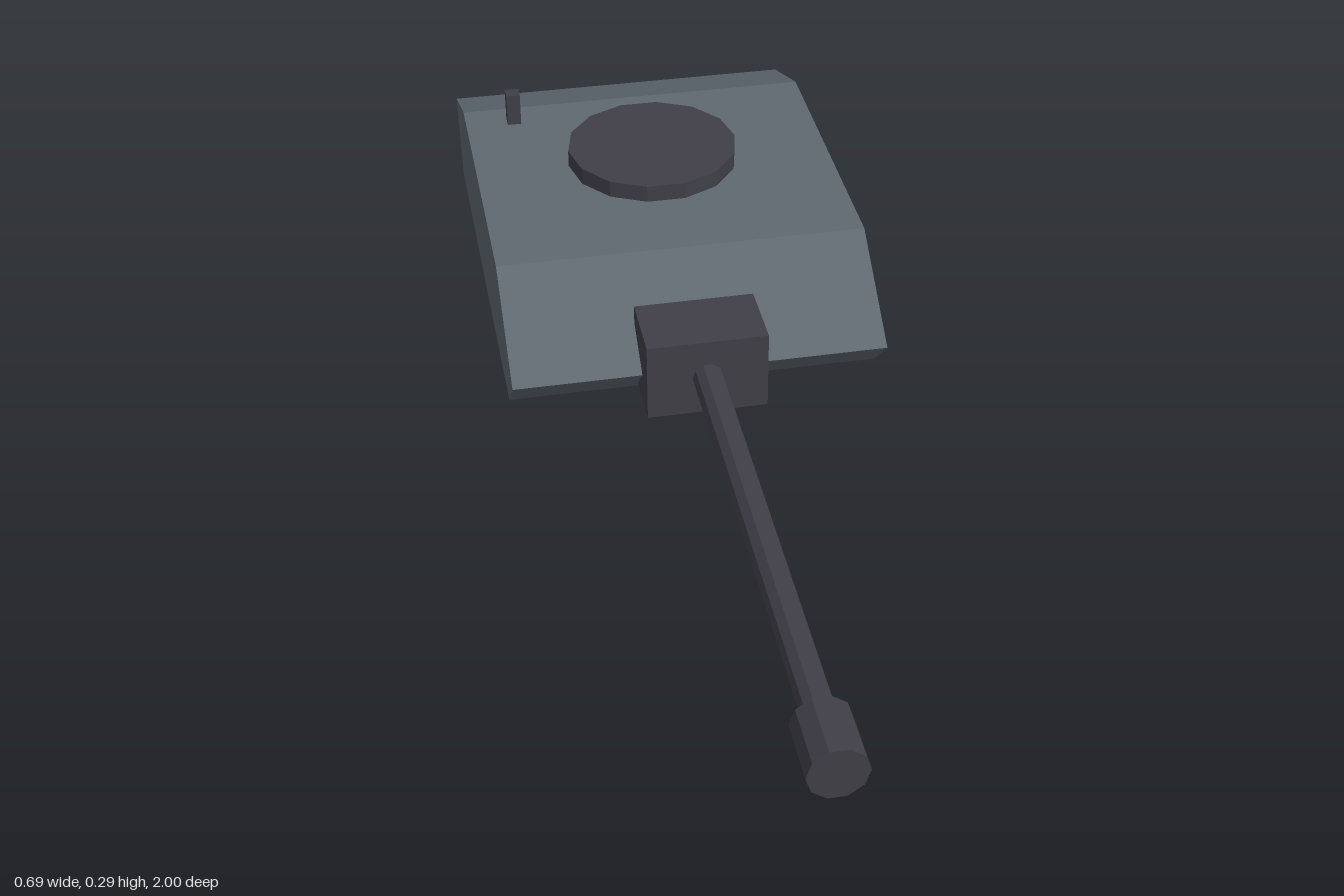
import * as THREE from 'three';

const armour = new THREE.MeshStandardMaterial({ name: 'armour grey', color: 0x5f6870, flatShading: true });
const gunmetal = new THREE.MeshStandardMaterial({ name: 'gunmetal', color: 0x403f48, flatShading: true });

export function createModel() {
  const group = new THREE.Group();
  group.name = 'turret';

  const add = (name, geometry, material, x, y, z) => {
    const mesh = new THREE.Mesh(geometry, material);
    mesh.name = name;
    mesh.position.set(x, y, z);
    group.add(mesh);
  };

  // Faceted cylinder with corners on the x axis
  const drum = (radius, length, sides) =>
    new THREE.CylinderGeometry(radius, radius, length, sides, 1, false, Math.PI / 2);

  // Wedge-nosed body: side profile in (z, y), extruded across the width
  const profile = [
    [-0.945, 0], [-0.12, 0], [-0.035, 0.084], [-0.23, 0.222], [-0.81, 0.222], [-1, 0.151],
  ].map(([z, y]) => new THREE.Vector2(z, y));
  const width = 0.69;
  const body = new THREE.ExtrudeGeometry(new THREE.Shape(profile), { depth: width, bevelEnabled: false });
  body.translate(0, 0, -width / 2).rotateY(-Math.PI / 2);
  add('body', body, armour, 0, 0, 0);

  // Gun: mantlet block, barrel and muzzle
  const gunY = 0.103;
  add('mantlet', new THREE.BoxGeometry(0.22, 0.151, 0.136), gunmetal, 0, gunY, -0.05);
  add('barrel', drum(0.028, 0.92, 10).rotateX(Math.PI / 2), gunmetal, 0, gunY, 0.46);
  add('muzzle', drum(0.049, 0.11, 10).rotateX(Math.PI / 2), gunmetal, 0, gunY, 0.945);

  // Roof fittings
  add('hatch', drum(0.165, 0.037, 14), gunmetal, 0, 0.2365, -0.56);
  add('periscope', new THREE.BoxGeometry(0.027, 0.07, 0.027), gunmetal, -0.249, 0.252, -0.756);

  return group;
}
